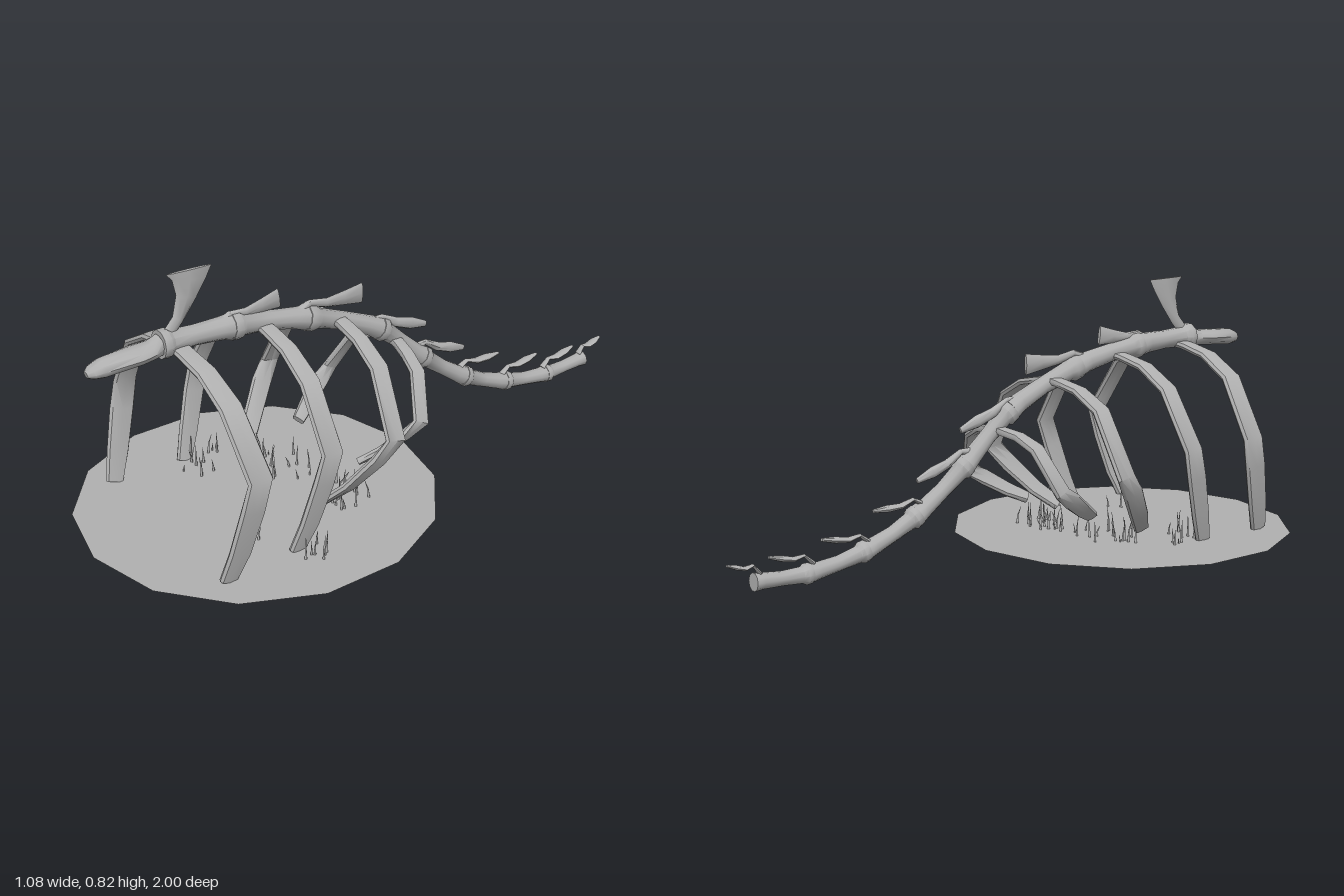
import * as THREE from 'three';
import { mergeGeometries, toCreasedNormals } from 'three/addons/utils/BufferGeometryUtils.js';

const { lerp } = THREE.MathUtils;
const V = (x, y, z) => new THREE.Vector3(x, y, z);
const X = V(1, 0, 0), Z = V(0, 0, 1);

// Sweeps a section along points; size(i) = [half width along ref, half depth across it].
function sweep(points, size, sides, ref, power = 1) {
  const pos = [], idx = [], n = points.length;
  const bulge = (a) => Math.sign(a) * Math.pow(Math.abs(a), power);
  points.forEach((p, i) => {
    const t = points[Math.min(i + 1, n - 1)].clone().sub(points[Math.max(i - 1, 0)]).normalize();
    const u = ref.clone().addScaledVector(t, -t.dot(ref)).normalize();
    const v = t.clone().cross(u);
    const [w, h] = size(i);
    for (let j = 0; j < sides; j++) {
      const a = (j / sides) * Math.PI * 2;
      const q = p.clone().addScaledVector(u, bulge(Math.cos(a)) * w).addScaledVector(v, bulge(Math.sin(a)) * h);
      pos.push(q.x, q.y, q.z);
    }
  });
  for (let i = 0; i < n - 1; i++) {
    for (let j = 0; j < sides; j++) {
      const a = i * sides + j, b = i * sides + (j + 1) % sides;
      idx.push(a, b, a + sides, b, b + sides, a + sides);
    }
  }
  // end caps
  const last = (n - 1) * sides;
  for (let j = 1; j < sides - 1; j++) idx.push(0, j + 1, j, last, last + j, last + j + 1);
  const g = new THREE.BufferGeometry();
  g.setAttribute('position', new THREE.Float32BufferAttribute(pos, 3));
  g.setIndex(idx);
  return toCreasedNormals(g, 0.8);
}

// Spine joints, as [z, y]
const JOINTS = [[0.74, 0.62], [0.51, 0.608], [0.25, 0.56], [-0.02, 0.447], [-0.19, 0.3],
  [-0.37, 0.17], [-0.55, 0.092], [-0.74, 0.057], [-0.92, 0.062]];

const RIBS = [
  { reach: 0.375, top: 0.6, bottom: 0.02, waist: 0.54, tip: 0.87, z: [0.685, 0.662, 0.75], width: 0.04 },
  { reach: 0.36, top: 0.585, bottom: 0.015, waist: 0.54, tip: 0.87, z: [0.405, 0.413, 0.51], width: 0.036 },
  { reach: 0.33, top: 0.527, bottom: 0.058, waist: 0.44, tip: 0.62, z: [0.14, 0.165, 0.345], width: 0.034 },
  { reach: 0.235, top: 0.395, bottom: 0.115, waist: 0.39, tip: 0.68, z: [-0.075, -0.005, 0.175], width: 0.028 },
];

// One side of a rib: arch from the spine to the widest point, then curl in to the tip
function ribSide({ reach, top, bottom, waist, tip, z }) {
  const arch = [[0, 1, 0], [0.135, 0.99, 0], [0.4, 0.955, 0.2], [0.69, 0.85, 0.4], [1, waist, 1]]
    .map(([x, y, f]) => V(x * reach, lerp(bottom, top, y), lerp(z[0], z[1], f)));
  const curl = [[0.17, 0.7, 0.27], [0.57, 0.28, 0.67], [1, 0, 1]]
    .map(([x, y, f]) => V(lerp(1, tip, x) * reach, lerp(bottom, top, y * waist), lerp(z[1], z[2], f)));
  return [...arch, ...curl];
}

// Back blades, as root [z, y], tip [z, y] and half height
const FANS = [[0.55, 0.622, 0.34, 0.65, 0.031], [0.28, 0.585, 0.04, 0.583, 0.033]];
const LEAVES = [[0.01, 0.475, -0.21, 0.405, 0.02], [-0.17, 0.335, -0.37, 0.272, 0.018], [-0.35, 0.2, -0.525, 0.204, 0.011],
  [-0.54, 0.115, -0.7, 0.147, 0.01], [-0.73, 0.085, -0.87, 0.124, 0.009], [-0.9, 0.085, -1, 0.122, 0.007]];
const ALONG = [0, 0.2, 0.45, 0.72, 1];
const RISE = [0, 0.018, 0.003, 0.001, 0];

// Grass clumps, as [x, z, spread x, spread z, blade count]
const CLUMPS = [[0.12, 0.23, 0.12, 0.07, 26], [-0.12, 0.27, 0.1, 0.08, 16], [-0.25, 0.47, 0.06, 0.08, 12],
  [0.34, 0.48, 0.06, 0.04, 7], [0.18, 0.59, 0.03, 0.02, 3]];

export function createModel() {
  const model = new THREE.Group();
  const stone = new THREE.MeshStandardMaterial({ color: 0xb0b0b0, side: THREE.DoubleSide });
  stone.name = 'stone grey';
  const add = (name, geometry, parent = model) => {
    const mesh = new THREE.Mesh(geometry, stone);
    mesh.name = name;
    parent.add(mesh);
    return mesh;
  };
  const group = (name) => {
    const g = new THREE.Group();
    g.name = name;
    model.add(g);
    return g;
  };

  // ground disc
  const disc = new THREE.CircleGeometry(0.555, 14, Math.PI / 2).rotateX(-Math.PI / 2);
  add('ground', disc).position.set(0, 0.018, 0.44);

  // vertebrae: thick at the joints, waisted between them
  const spine = group('spine');
  const curve = new THREE.CatmullRomCurve3(JOINTS.map(([z, y]) => V(0, y, z)));
  const segments = JOINTS.length - 1;
  const profile = [[0, 1], [0.1, 1.03], [0.16, 0.8], [0.5, 0.72], [0.85, 0.82], [1, 0.95]];
  for (let s = 0; s < segments; s++) {
    const points = profile.map(([f]) => curve.getPoint((s + f) / segments));
    const radius = (i) => (0.043 - 0.0018 * (s + profile[i][0])) * profile[i][1];
    add('vertebra', sweep(points, (i) => [radius(i), radius(i)], 10, X), spine);
  }

  // flattened front end of the neck, as [z, y, half width, half height]
  const neck = [[0.735, 0.62, 0.03, 0.033], [0.77, 0.612, 0.04, 0.026], [0.81, 0.61, 0.046, 0.026],
    [0.92, 0.604, 0.034, 0.028], [0.95, 0.6, 0.026, 0.02], [0.966, 0.597, 0.012, 0.01]];
  add('neckEnd', sweep(neck.map(([z, y]) => V(0, y, z)), (i) => neck[i].slice(2), 10, X), spine);

  // tall front blade, then fan and leaf blades along the back
  const blades = group('backBlades');
  const tall = [[0.72, 0.63, 0.02], [0.675, 0.68, 0.02], [0.645, 0.74, 0.034], [0.632, 0.79, 0.055], [0.631, 0.818, 0.073]];
  add('tallBlade', sweep(tall.map(([z, y]) => V(0, y, z)), (i) => [0.01 - 0.001 * i, tall[i][2]], 8, X), blades);
  const addBlades = (name, rows, widths, heights) => rows.forEach(([z0, y0, z1, y1, h]) => {
    const points = ALONG.map((f, i) => V(0, lerp(y0, y1, f) + RISE[i], lerp(z0, z1, f)));
    add(name, sweep(points, (i) => [widths[i], heights[i] * h], 8, X), blades);
  });
  addBlades('fanBlade', FANS, [0.015, 0.01, 0.008, 0.007, 0.006], [0.4, 0.33, 0.45, 0.7, 1]);
  addBlades('leafBlade', LEAVES, [0.013, 0.009, 0.015, 0.016, 0.005], [0.8, 0.5, 0.8, 1, 0.5]);

  // ribs: each hoop runs from one tip over the spine to the other
  const ribs = group('ribs');
  const taper = [0.7, 0.72, 0.8, 0.92, 1, 1.02, 0.92, 0.72];
  RIBS.forEach((rib) => {
    const left = ribSide(rib);
    const right = left.slice(1).reverse().map((p) => V(-p.x, p.y, p.z));
    const size = (i) => [rib.width * taper[Math.abs(i - right.length)], 0.011];
    add('rib', sweep([...right, ...left], size, 8, Z, 0.5), ribs);
  });

  // grass: thin curved blades in clumps
  let seed = 7;
  const rand = () => (seed = (seed * 16807) % 2147483647) / 2147483647;
  const tufts = [];
  for (const [cx, cz, sx, sz, count] of CLUMPS) {
    for (let k = 0; k < count; k++) {
      const x = cx + (rand() * 2 - 1) * sx, z = cz + (rand() * 2 - 1) * sz;
      const h = 0.035 + rand() * 0.05, lean = (rand() - 0.4) * 0.025, leanZ = (rand() - 0.5) * 0.02;
      const base = k % 7 === 0 ? 0 : 0.015;
      const points = [V(x, base, z), V(x + lean * 0.2, base + h * 0.5, z + leanZ * 0.2), V(x + lean, base + h, z + leanZ)];
      const width = (i) => 0.006 - 0.0027 * i;
      tufts.push(sweep(points, (i) => [width(i), width(i) * 0.8], 4, X));
    }
  }
  add('grass', mergeGeometries(tufts));
  return model;
}
